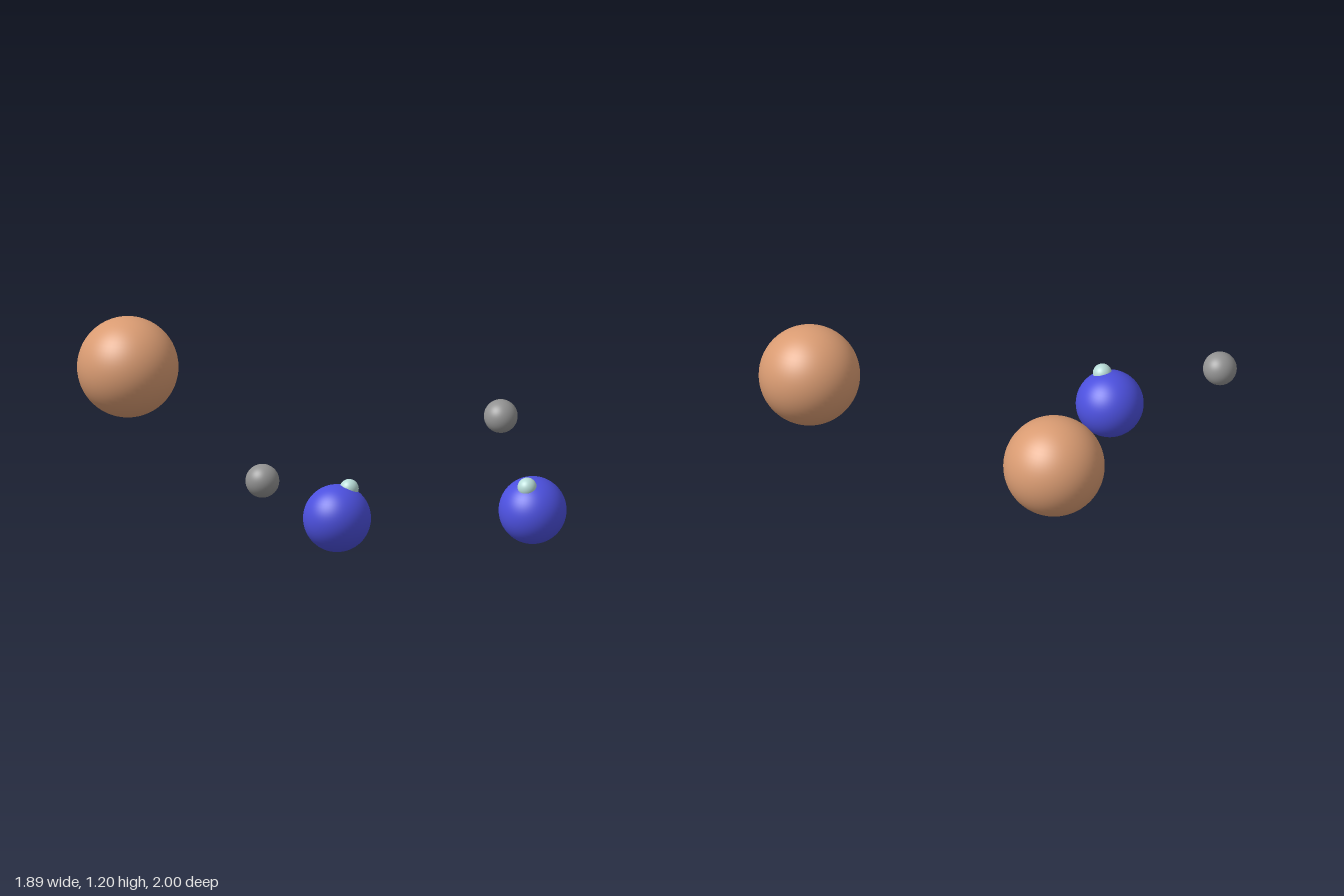
import * as THREE from 'three';

export function createModel() {
  const group = new THREE.Group();

  // Adds one smooth ball, named after the body it forms
  function ball(name, radius, color, x, y, z) {
    const mesh = new THREE.Mesh(
      new THREE.SphereGeometry(radius, 64, 32),
      new THREE.MeshStandardMaterial({ color })
    );
    mesh.name = name;
    mesh.position.set(x, y, z);
    group.add(mesh);
    return mesh;
  }

  // Large sandy planet, high at the back right
  ball('largePlanet', 0.306, 0xd99b72, -0.638, 0.895, -0.694);

  // Blue planet resting on the ground
  ball('bluePlanet', 0.205, 0x4c50de, 0.737, 0.206, 0.353);

  // Pale ice cap, a small ball half sunk into the blue planet
  ball('iceCap', 0.058, 0xb8dcd8, 0.809, 0.386, 0.339);

  // Small grey moon at the front
  ball('moon', 0.102, 0x929292, 0.341, 0.538, 0.898);

  return group;
}
